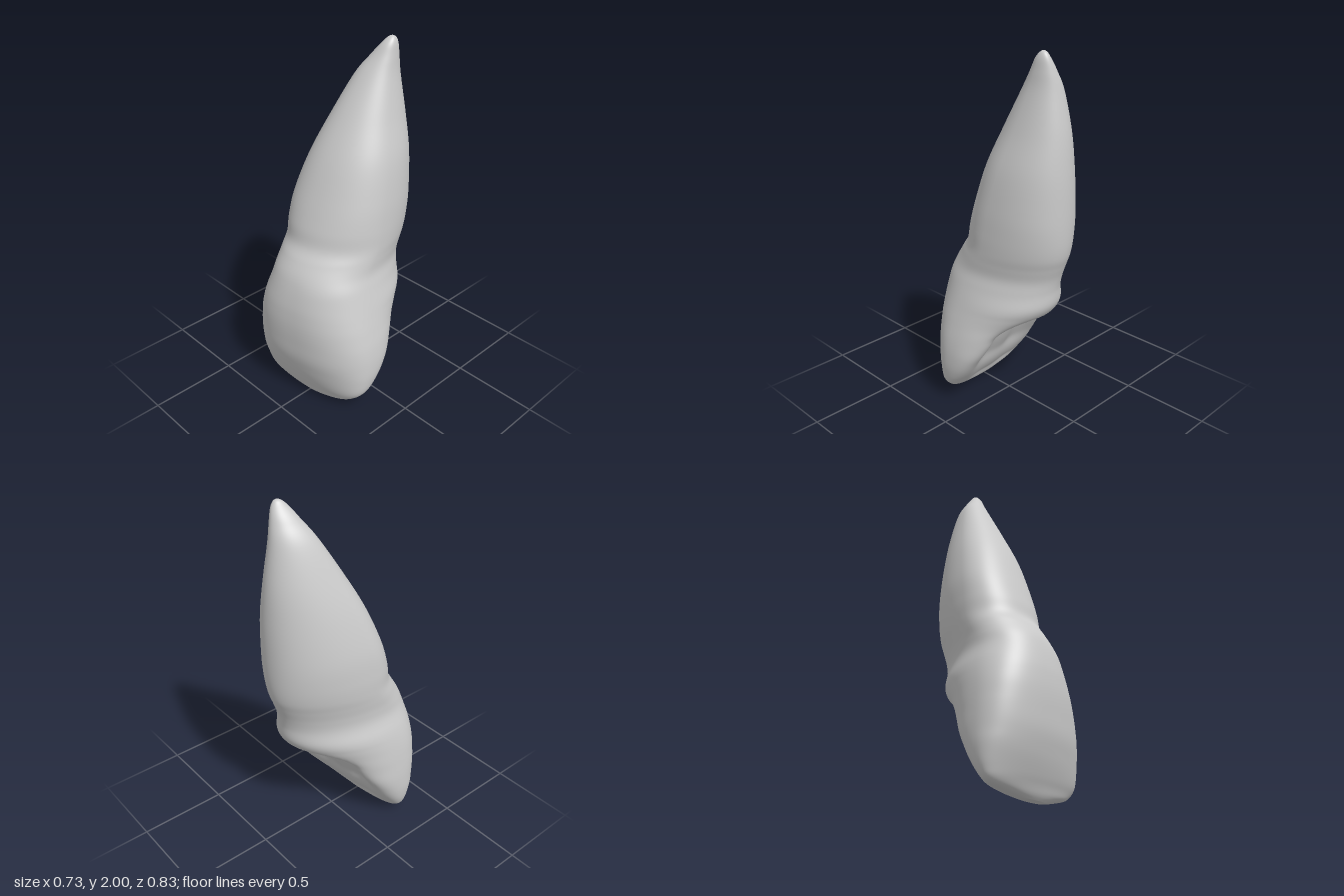
import * as THREE from 'three';

// Outline by height: y, x min, x max, z back (before hollowing), z front
const OUTLINE = [
  [0.0, -0.10, 0.08, 0.22, 0.278],
  [0.02, -0.22, 0.17, 0.187, 0.297],
  [0.05, -0.31, 0.265, 0.15, 0.315],
  [0.11, -0.347, 0.333, 0.08, 0.342],
  [0.2, -0.364, 0.358, -0.02, 0.375],
  [0.3, -0.366, 0.361, -0.105, 0.40],
  [0.4, -0.36, 0.35, -0.16, 0.41],
  [0.5, -0.35, 0.328, -0.213, 0.414],
  [0.58, -0.338, 0.308, -0.283, 0.41],
  [0.65, -0.322, 0.29, -0.325, 0.40],
  [0.74, -0.293, 0.265, -0.333, 0.378],
  [0.81, -0.288, 0.247, -0.346, 0.353],
  [0.88, -0.291, 0.245, -0.37, 0.312],
  [0.95, -0.293, 0.245, -0.393, 0.265],
  [1.05, -0.293, 0.244, -0.406, 0.24],
  [1.2, -0.28, 0.235, -0.411, 0.19],
  [1.4, -0.235, 0.208, -0.409, 0.108],
  [1.6, -0.172, 0.155, -0.394, 0.0],
  [1.8, -0.098, 0.108, -0.36, -0.12],
  [1.9, -0.035, 0.093, -0.338, -0.188],
  [1.96, 0.01, 0.085, -0.321, -0.228],
  [1.99, 0.033, 0.074, -0.305, -0.257],
  [2.0, 0.047, 0.062, -0.29, -0.274],
];

// Section character by height: y, skew, widest point (from back),
// front squareness, back squareness, hollow depth, hollow half width
const SHAPE = [
  [0.0, 0.10, 0.5, 2.3, 2.2, 0.05, 0.8],
  [0.08, 0.14, 0.5, 2.35, 2.4, 0.2, 0.78],
  [0.25, 0.17, 0.54, 2.4, 2.45, 0.32, 0.74],
  [0.43, 0.18, 0.58, 2.4, 2.2, 0.3, 0.62],
  [0.6, 0.18, 0.61, 2.4, 2, 0, 0.45],
  [0.72, 0.18, 0.62, 2.35, 1.9, 0, 0.45],
  [0.88, 0.19, 0.63, 2.0, 1.9, 0, 0.45],
  [1.15, 0.2, 0.64, 2.15, 2.05, 0, 0.45],
  [2.0, 0.15, 0.6, 2.1, 2, 0, 0.45],
];

const SIDES = 96;
const STEPS = 7;

// Smooth curve through all columns of the outline rows
function outlineAt(i, t) {
  const row = (k) => OUTLINE[THREE.MathUtils.clamp(k, 0, OUTLINE.length - 1)];
  const [a, b, c, d] = [row(i - 1), row(i), row(i + 1), row(i + 2)];
  return b.map((v, k) => v + 0.5 * t * (c[k] - a[k]
    + t * (2 * a[k] - 5 * v + 4 * c[k] - d[k] + t * (3 * (v - c[k]) + d[k] - a[k]))));
}

function shapeAt(y) {
  let i = 0;
  while (i < SHAPE.length - 2 && y > SHAPE[i + 1][0]) i++;
  const a = SHAPE[i], b = SHAPE[i + 1];
  const t = THREE.MathUtils.smoothstep(y, a[0], b[0]);
  return a.map((v, k) => THREE.MathUtils.lerp(v, b[k], t));
}

const power = (v, n) => Math.sign(v) * Math.pow(Math.abs(v), 2 / n);

// One horizontal section: rounded triangle, turned front, hollow back between two ridges
function section([y, x0, x1, zBack, zFront]) {
  const [, skew, widest, frontN, backN, hollow, hollowWidth] = shapeAt(y);
  const depth = zFront - zBack;
  const ring = [];
  for (let j = 0; j < SIDES; j++) {
    const a = (j / SIDES) * Math.PI * 2;
    const c = Math.cos(a), s = Math.sin(a);
    const n = s > 0 ? frontN : backN;
    const u = power(c, n);
    const x = (x0 + x1) / 2 + (u * (x1 - x0)) / 2;
    const z = power(s, n) * depth * (s > 0 ? 1 - widest : widest) - skew * x;
    const ripple = 0.94 - 0.06 * Math.cos(9 * u);
    const dent = s < 0 ? hollow * depth * ripple * Math.exp(-Math.pow(u / hollowWidth, 4)) : 0;
    ring.push({ x, z, dent });
  }
  // Fit the section to its front and back limits, then press in the hollow
  const zs = ring.map((p) => p.z);
  const lo = Math.min(...zs), hi = Math.max(...zs);
  return ring.map(({ x, z, dent }) => [x, y, zBack + ((z - lo) / (hi - lo)) * depth + dent]);
}

function loft(rings) {
  const points = rings.flat();
  const index = [];
  for (let i = 0; i < rings.length - 1; i++) {
    for (let j = 0; j < SIDES; j++) {
      const k = (j + 1) % SIDES;
      const a = i * SIDES + j, b = i * SIDES + k;
      index.push(a, a + SIDES, b, b, a + SIDES, b + SIDES);
    }
  }
  // Close both ends with a fan
  for (const end of [0, rings.length - 1]) {
    const ring = rings[end], centre = points.length;
    points.push([0, 1, 2].map((k) => ring.reduce((sum, p) => sum + p[k], 0) / SIDES));
    for (let j = 0; j < SIDES; j++) {
      const a = end * SIDES + j, b = end * SIDES + ((j + 1) % SIDES);
      if (end === 0) index.push(centre, a, b);
      else index.push(centre, b, a);
    }
  }
  const geometry = new THREE.BufferGeometry();
  geometry.setAttribute('position', new THREE.Float32BufferAttribute(points.flat(), 3));
  geometry.setIndex(index);
  geometry.computeVertexNormals();
  return geometry;
}

export function createModel() {
  const group = new THREE.Group();
  group.name = 'incisorTooth';

  // Crown and root are one continuous skin
  const rings = [];
  for (let i = 0; i < OUTLINE.length - 1; i++) {
    for (let s = 0; s < STEPS; s++) rings.push(section(outlineAt(i, s / STEPS)));
  }
  rings.push(section(OUTLINE[OUTLINE.length - 1]));

  const tooth = new THREE.Mesh(loft(rings), new THREE.MeshStandardMaterial({ color: 0xcccccc }));
  tooth.name = 'crownAndRoot';
  group.add(tooth);
  return group;
}
